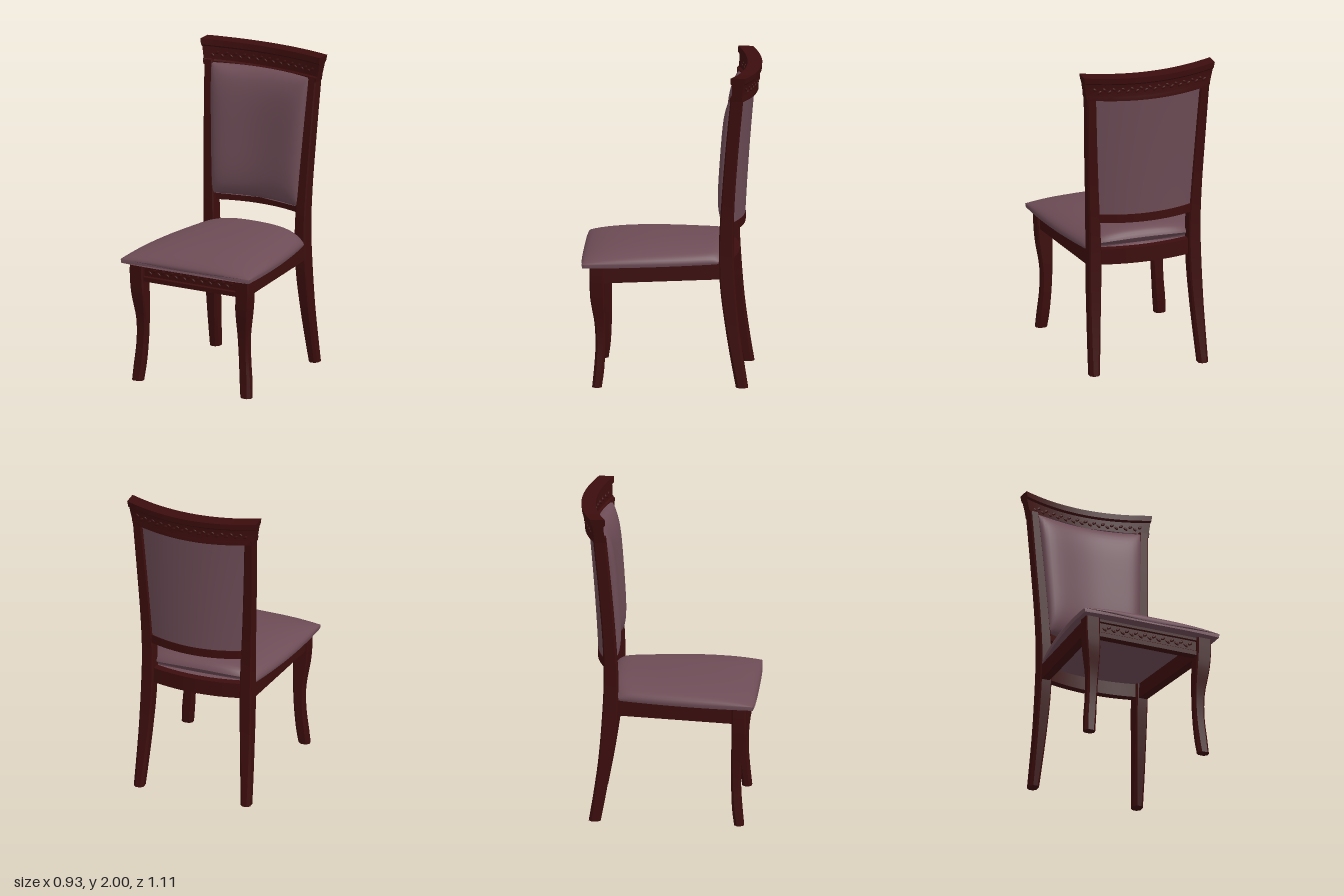
import * as THREE from 'three';
import { toCreasedNormals } from 'three/addons/utils/BufferGeometryUtils.js';

const wood = new THREE.MeshStandardMaterial({ color: 0x3c0d0d });
wood.name = 'dark mahogany';
const fabric = new THREE.MeshStandardMaterial({ color: 0x6d4c56 });
fabric.name = 'mauve fabric';

// Skin a list of closed rings of [x, y, z] points and cap both ends.
function loft(rings, crease = 0.6) {
  const n = rings[0].length, m = rings.length;
  const pts = rings.flat();
  for (const r of [rings[0], rings[m - 1]]) {
    pts.push([0, 1, 2].map(k => r.reduce((s, p) => s + p[k], 0) / n));
  }
  const tris = [];
  for (let i = 0; i < m - 1; i++) {
    for (let j = 0; j < n; j++) {
      const a = i * n + j, b = i * n + (j + 1) % n, c = a + n, d = b + n;
      tris.push([a, b, d], [a, d, c]);
    }
  }
  for (let j = 0; j < n; j++) {
    const k = (j + 1) % n, e = (m - 1) * n;
    tris.push([m * n, k, j], [m * n + 1, e + j, e + k]);
  }
  // Signed volume tells which way the faces look
  let volume = 0;
  const v = pts.map(p => new THREE.Vector3(...p));
  for (const [a, b, c] of tris) volume += v[a].dot(v[b].clone().cross(v[c]));
  const geo = new THREE.BufferGeometry();
  geo.setAttribute('position', new THREE.Float32BufferAttribute(pts.flat(), 3));
  geo.setIndex(tris.flatMap(([a, b, c]) => (volume > 0 ? [a, b, c] : [a, c, b])));
  return toCreasedNormals(geo, crease);
}

function add(parent, name, geo, mat) {
  const mesh = new THREE.Mesh(geo, mat);
  mesh.name = name;
  parent.add(mesh);
  return mesh;
}

// Upright member from stations [y, xInner, xOuter, zBack, zFront], with chamfered corners
function upright(stations, steps, chamfer) {
  const at = k => new THREE.CatmullRomCurve3(stations.map(s => new THREE.Vector3(s[0], s[k], s[k + 1])));
  const xs = at(1), zs = at(3);
  const rings = [];
  for (let i = 0; i <= steps; i++) {
    const p = xs.getPoint(i / steps), q = zs.getPoint(i / steps);
    const c = chamfer + 0.01 * Math.max(0, 1 - p.x / 0.5);
    const [a, b, d, e, y] = [p.y, p.z, q.y, q.z, p.x];
    rings.push([[a + c, y, d], [b - c, y, d], [b, y, d + c], [b, y, e - c],
      [b - c, y, e], [a + c, y, e], [a, y, e - c], [a, y, d + c]]);
  }
  return loft(rings);
}

// Rail across the chair: profile of [z, y] points, bowed backwards at the middle
function bowedRail(profile, halfWidth, sag, dip = 0, steps = 28) {
  const rings = [];
  for (let i = 0; i <= steps; i++) {
    const u = (i / steps) * 2 - 1, k = 1 - u * u;
    rings.push(profile.map(([z, y]) => [u * halfWidth(y), y - dip * k, z - sag * k]));
  }
  return loft(rings);
}

const rect = (z0, z1, y0, y1) => [[z0, y0], [z0, y1], [z1, y1], [z1, y0]];

// Row of low-relief leaves and buds
function carving(name, count, halfWidth, y, zAt) {
  const g = new THREE.Group();
  g.name = name;
  const bud = new THREE.SphereGeometry(1, 10, 6);
  for (let i = 0; i < count; i++) {
    const u = ((i + 0.5) / count) * 2 - 1, x = u * halfWidth;
    const leaf = add(g, 'carvedLeaf', bud, wood);
    const up = i % 2 ? 1 : -1;
    leaf.position.set(x, y + up * 0.008, zAt(x));
    leaf.rotation.z = up * 0.6;
    leaf.scale.set(halfWidth / count * 1.1, 0.009, 0.006);
  }
  return g;
}

export function createModel() {
  const chair = new THREE.Group();
  chair.name = 'diningChair';

  // Legs and back posts, mirrored by negating x (loft restores the facing)
  const frontLeg = [[0, 0.355, 0.428, 0.425, 0.485], [0.1, 0.345, 0.42, 0.412, 0.475],
    [0.25, 0.335, 0.405, 0.405, 0.465], [0.4, 0.33, 0.402, 0.405, 0.47],
    [0.57, 0.33, 0.422, 0.408, 0.496], [0.68, 0.335, 0.43, 0.41, 0.5], [0.78, 0.335, 0.43, 0.41, 0.5]];
  const backPost = [[0, 0.325, 0.39, -0.487, -0.412], [0.2, 0.313, 0.383, -0.455, -0.375],
    [0.4, 0.302, 0.376, -0.428, -0.343], [0.65, 0.292, 0.37, -0.407, -0.312],
    [0.9, 0.292, 0.368, -0.395, -0.305], [1.15, 0.305, 0.375, -0.4, -0.318],
    [1.5, 0.325, 0.39, -0.425, -0.345], [1.87, 0.346, 0.405, -0.46, -0.38]];
  for (const side of [1, -1]) {
    const mirror = list => list.map(([y, a, b, c, d]) => (side > 0 ? [y, a, b, c, d] : [y, -b, -a, c, d]));
    const label = side > 0 ? 'left' : 'right';
    add(chair, label + 'FrontLeg', upright(mirror(frontLeg), 24, 0.008), wood);
    add(chair, label + 'BackPost', upright(mirror(backPost), 36, 0.008), wood);
    // Side apron, tapering towards the back
    const end = (x, z, y0) => [[x, y0], [x, 0.79], [x - 0.055, 0.79], [x - 0.055, y0]]
      .map(([px, py]) => [px * side, py, z]);
    add(chair, label + 'Apron', loft([end(0.418, 0.45, 0.668), end(0.36, -0.34, 0.692)]), wood);
  }

  // Front apron with a recessed face and bead
  add(chair, 'frontApron', bowedRail([[0.43, 0.655], [0.43, 0.785], [0.482, 0.785], [0.482, 0.757],
    [0.474, 0.75], [0.474, 0.69], [0.484, 0.683], [0.484, 0.655]], () => 0.345, 0, 0, 2), wood);
  chair.add(carving('frontApronCarving', 20, 0.31, 0.72, () => 0.474));

  // Bowed rear apron and lower back rail
  add(chair, 'rearApron', bowedRail(rect(-0.37, -0.32, 0.7, 0.8), () => 0.31, 0.045), wood);
  add(chair, 'lowerBackRail', bowedRail(rect(-0.387, -0.335, 0.985, 1.04), () => 0.312, 0.065), wood);

  // Flared, moulded top rail
  const crest = [[-0.375, 1.84], [-0.375, 1.866], [-0.388, 1.874], [-0.392, 1.952], [-0.38, 1.963],
    [-0.383, 2], [-0.475, 2], [-0.472, 1.963], [-0.46, 1.952], [-0.45, 1.874], [-0.452, 1.866], [-0.452, 1.84]];
  add(chair, 'topRail', bowedRail(crest, y => 0.405 + (y - 1.84) * 0.17, 0.08, 0.01), wood);
  const bow = x => -0.08 * (1 - (x / 0.418) ** 2);
  chair.add(carving('topRailFrontCarving', 26, 0.375, 1.905, x => -0.39 + bow(x)));
  chair.add(carving('topRailRearCarving', 26, 0.375, 1.905, x => -0.455 + bow(x)));

  // Padded backrest: flat bow behind, plump in front
  const backRings = [];
  for (let i = 0; i <= 28; i++) {
    const v = (1 - Math.cos(Math.PI * i / 28)) / 2, y = 1.03 + 0.825 * v;
    const w = 0.308 + 0.045 * v, base = -0.325 - 0.04 * v - 0.02 * v * v;
    const front = [], rear = [];
    for (let j = 0; j <= 24; j++) {
      const u = -Math.cos(Math.PI * j / 24), sag = 0.07 * (1 - u * u);
      const puff = 0.09 * Math.sqrt(1 - u ** 4) * Math.sqrt(1 - Math.abs(2 * v - 1) ** 5);
      front.push([u * w, y, base - sag + puff]);
      rear.unshift([u * w, y, base - 0.055 - sag]);
    }
    backRings.push([...front, ...rear]);
  }
  add(chair, 'backCushion', loft(backRings, 0.9), fabric);

  // Domed seat cushion, wider at the front, bowed between the posts at the back
  const seatRings = [];
  for (let i = 0; i <= 32; i++) {
    const t = (1 - Math.cos(Math.PI * i / 32)) / 2, w = 0.365 + 0.1 * (1 - t * t);
    const ahead = Math.max(0, 1 - t / 0.7), behind = Math.max(0, (t - 0.85) / 0.15);
    const along = Math.sqrt(1 - ahead ** 2.5) * Math.sqrt(1 - 0.8 * behind ** 4);
    const under = 0.773 + 0.015 * t;
    const top = [], bottom = [];
    for (let j = 0; j <= 32; j++) {
      const s = -Math.cos(Math.PI * j / 32);
      const z = 0.557 - 0.012 * s ** 4 * (1 - t) - t * (0.857 + 0.065 * (1 - s ** 4));
      const dome = Math.sqrt(Math.max(0, 1 - Math.abs(s) ** 2.5)) * along;
      top.push([s * w, 0.798 + 0.105 * dome, z]);
      bottom.unshift([s * w * 0.99, under, z]);
    }
    seatRings.push([...top, ...bottom]);
  }
  add(chair, 'seatCushion', loft(seatRings, 0.9), fabric);

  return chair;
}
